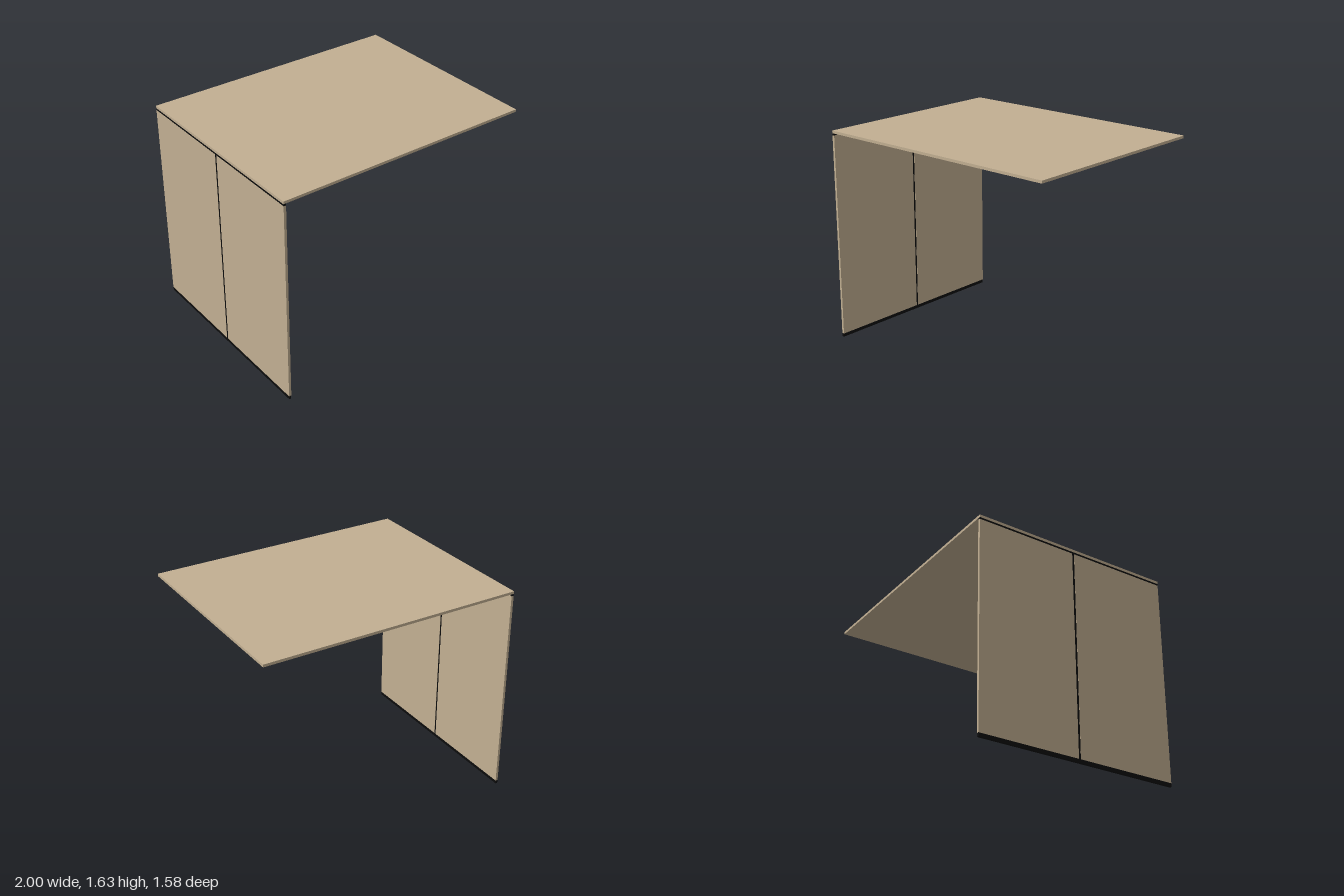
import * as THREE from 'three';

const tan = new THREE.MeshStandardMaterial({ color: 0xc2af92 });
tan.name = 'lightWood';
const black = new THREE.MeshStandardMaterial({ color: 0x0c0c0c });
black.name = 'blackTrim';

// Box given by its [min, max] range on each axis
function slab(name, material, [x0, x1], [y0, y1], [z0, z1]) {
  const mesh = new THREE.Mesh(new THREE.BoxGeometry(x1 - x0, y1 - y0, z1 - z0), material);
  mesh.position.set((x0 + x1) / 2, (y0 + y1) / 2, (z0 + z1) / 2);
  mesh.name = name;
  return mesh;
}

export function createModel() {
  const group = new THREE.Group();
  group.name = 'returnDesk';

  const half = 0.79, gap = 0.008;
  const wall = [-1, -0.981];
  const inset = [-0.999, -0.983];
  const baseTop = 0.027, panelTop = 1.598, topUnder = 1.613;

  // Worktop
  group.add(slab('worktop', tan, [-1, 1], [topUnder, 1.633], [-half, half]));

  // Two side panels separated by a narrow joint
  group.add(slab('frontSidePanel', tan, wall, [baseTop, panelTop], [gap, half]));
  group.add(slab('backSidePanel', tan, wall, [baseTop, panelTop], [-half, -gap]));

  // Black trim: plinth, centre joint and shadow gap below the worktop
  group.add(slab('plinth', black, inset, [0, baseTop], [-half, half]));
  group.add(slab('centreJoint', black, inset, [baseTop, panelTop], [-gap, gap]));
  group.add(slab('topSpacer', black, inset, [panelTop, topUnder], [-half, half]));

  return group;
}
